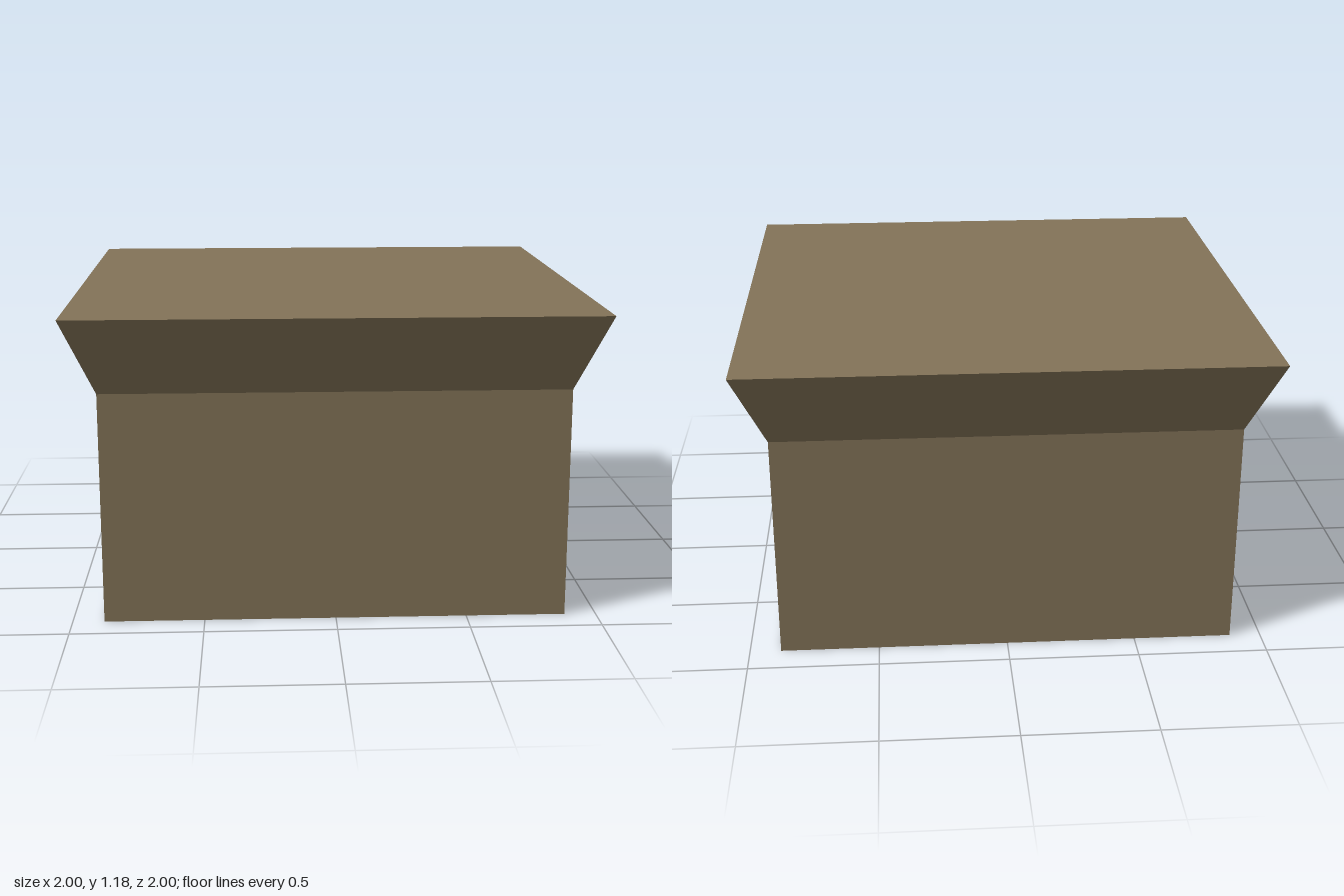
import * as THREE from 'three';

export function createModel() {
  const group = new THREE.Group();
  const wood = new THREE.MeshStandardMaterial({ color: 0x837358, flatShading: true, side: THREE.DoubleSide });
  wood.name = 'brown';

  function add(name, geometry, y) {
    const mesh = new THREE.Mesh(geometry, wood);
    mesh.name = name;
    mesh.position.y = y;
    group.add(mesh);
  }

  // Four open sides of a square ring, given its half widths
  function squareRing(topHalf, bottomHalf, height) {
    const g = new THREE.CylinderGeometry(topHalf * Math.SQRT2, bottomHalf * Math.SQRT2, height, 4, 1, true);
    return g.rotateY(Math.PI / 4);
  }

  const wallHalf = 0.88, wallTop = 0.885, top = 1.18, coreHalf = 0.643;

  // Hollow outer shell: straight walls, flared rim and flat lid
  add('outerWalls', squareRing(wallHalf, wallHalf, wallTop), wallTop / 2);
  add('flaredRim', squareRing(1, wallHalf, top - wallTop), (top + wallTop) / 2);
  add('lid', new THREE.PlaneGeometry(2, 2).rotateX(-Math.PI / 2), top);

  // Inner core, separated from the walls by an open gap underneath
  add('innerCoreWalls', squareRing(coreHalf, coreHalf, top), top / 2);
  add('innerCoreBase', new THREE.PlaneGeometry(2 * coreHalf, 2 * coreHalf).rotateX(Math.PI / 2), 0);

  return group;
}
